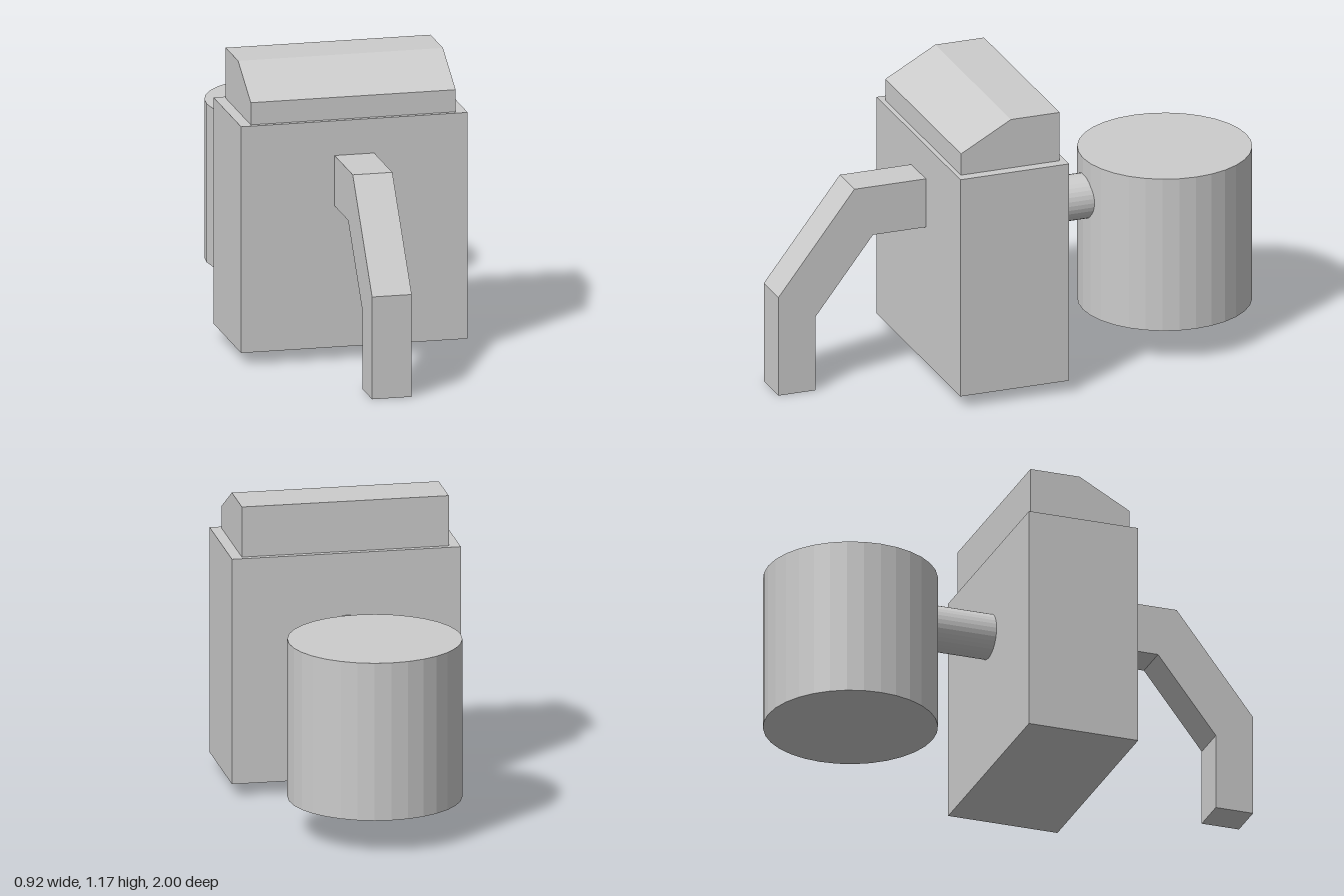
import * as THREE from 'three';

const material = new THREE.MeshStandardMaterial({ color: 0xcccccc, flatShading: true });

function part(name, geometry, x = 0, y = 0, z = 0) {
  const mesh = new THREE.Mesh(geometry, material);
  mesh.name = name;
  mesh.position.set(x, y, z);
  return mesh;
}

// Side profile given as [z, y] points, extruded across x and centred on it
function sideProfile(points, width) {
  const shape = new THREE.Shape(points.map(([z, y]) => new THREE.Vector2(z, y)));
  return new THREE.ExtrudeGeometry(shape, { depth: width, bevelEnabled: false })
    .translate(0, 0, -width / 2)
    .rotateY(-Math.PI / 2);
}

export function createModel() {
  const model = new THREE.Group();
  model.name = 'dispenser';

  // Main housing
  model.add(part('body', new THREE.BoxGeometry(0.916, 0.92, 0.457), 0, 0.51, 0.151));

  // Cap with a sloping front
  model.add(part('cap', sideProfile([
    [-0.055, 0.97], [0.36, 0.97], [0.36, 1.06], [0.15, 1.175], [-0.055, 1.175],
  ], 0.828)));

  // Bent spout reaching forward and down
  model.add(part('spout', sideProfile([
    [0.37, 0.624], [0.602, 0.624], [0.844, 0.312], [0.844, 0], [1, 0],
    [1, 0.416], [0.68, 0.829], [0.37, 0.829],
  ], 0.16)));

  // Pipe joining the body to the tank
  const pipe = new THREE.CylinderGeometry(0.091, 0.091, 0.29, 32).rotateX(Math.PI / 2);
  model.add(part('pipe', pipe, 0, 0.625, -0.215));

  // Round tank at the back
  model.add(part('tank', new THREE.CylinderGeometry(0.344, 0.344, 0.644, 32), 0, 0.463, -0.656));

  return model;
}
